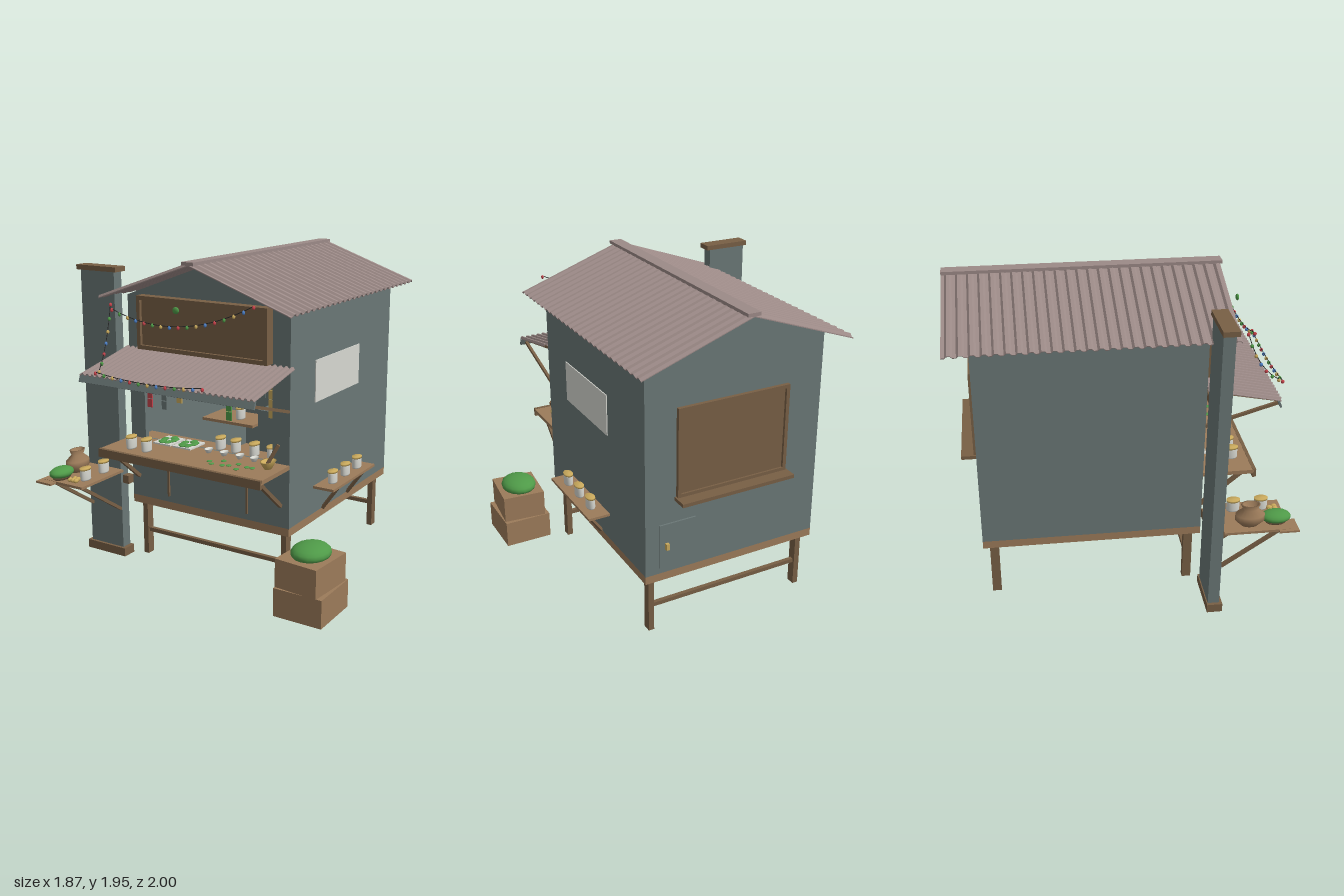
import * as THREE from 'three';

const mat = (name, color) => Object.assign(new THREE.MeshStandardMaterial({ color, side: THREE.DoubleSide }), { name });
const M = {
  wall: mat('slate grey', 0x6a7776), roof: mat('roof tin', 0x9c8a87), tan: mat('light wood', 0x9c7b5a),
  wood: mat('dark wood', 0x785f45), green: mat('leaf green', 0x4f9a48), gold: mat('gold', 0xc9a95c),
  red: mat('red', 0xc4434b), blue: mat('blue', 0x4d80c6), white: mat('off white', 0xd6d7d0), black: mat('wire black', 0x2a2a2a),
};
const CX = -0.0175; // centre line of the hut
const V = (x, y, z) => new THREE.Vector3(x, y, z);

export function createModel() {
  const root = new THREE.Group();
  root.name = 'foodStall';
  const add = (name, geo, m, x = 0, y = 0, z = 0) => {
    const mesh = new THREE.Mesh(geo, m);
    mesh.name = name;
    mesh.position.set(x, y, z);
    root.add(mesh);
    return mesh;
  };
  // box from its extents
  const box = (name, m, x0, x1, y0, y1, z0, z1) => add(name,
    new THREE.BoxGeometry(x1 - x0, y1 - y0, z1 - z0), m, (x0 + x1) / 2, (y0 + y1) / 2, (z0 + z1) / 2);
  // square bar between two points
  const beam = (name, m, a, b, w) => {
    const d = b.clone().sub(a);
    const mesh = add(name, new THREE.BoxGeometry(w, w, d.length()), m, ...a.clone().lerp(b, 0.5));
    mesh.quaternion.setFromUnitVectors(V(0, 0, 1), d.normalize());
    return mesh;
  };
  // round parts are oval: narrower in x than in z
  const lathe = (name, m, pts, x, y, z) => {
    const mesh = add(name, new THREE.LatheGeometry(pts.map(p => new THREE.Vector2(...p)), 18), m, x, y, z);
    mesh.scale.x = 0.67;
    return mesh;
  };
  const mound = (name, m, x, y, z, rx, ry, rz) =>
    add(name, new THREE.SphereGeometry(1, 16, 10), m, x, y, z).scale.set(rx, ry, rz);
  const jar = (x, y, z) => {
    lathe('jar', M.white, [[0, 0], [0.036, 0], [0.04, 0.008], [0.04, 0.062], [0.035, 0.068], [0, 0.068]], x, y, z);
    lathe('jarLid', M.gold, [[0, 0.066], [0.042, 0.066], [0.042, 0.078], [0, 0.08]], x, y, z);
  };
  // ribbed sheet starting at p, running along dir, with its ribs spread over width
  const corrugated = (name, p, dir, up, length, width, waves, amp) => {
    const step = width / waves, top = [];
    for (let i = 0; i < waves; i++) {
      const x = -width / 2 + i * step;
      top.push([x, 0], [x + step * 0.3, 0], [x + step * 0.5, amp], [x + step * 0.8, amp]);
    }
    top.push([width / 2, 0]);
    const under = top.map(([x, y]) => [x, y - 0.005]).reverse();
    const shape = new THREE.Shape([...top, ...under].map(q => new THREE.Vector2(...q)));
    const mesh = add(name, new THREE.ExtrudeGeometry(shape, { depth: length, bevelEnabled: false }), M.roof, ...p);
    mesh.quaternion.setFromRotationMatrix(new THREE.Matrix4().makeBasis(up.clone().cross(dir), up, dir));
  };

  // raised floor, legs and stretchers
  box('floor', M.tan, -0.59, 0.555, 0.36, 0.41, -0.855, 0.485);
  for (const x of [-0.55, 0.48]) for (const z of [-0.815, 0.39]) box('leg', M.wood, x, x + 0.036, 0, 0.36, z, z + 0.055);
  for (const z of [-0.8, 0.405]) box('stretcher', M.wood, -0.515, 0.48, 0.15, 0.175, z, z + 0.025);

  // walls, with the serving hatch cut in the front
  const gable = hole => {
    const s = new THREE.Shape([[-0.59, 0.41], [0.555, 0.41], [0.555, 1.7], [CX, 1.91], [-0.59, 1.7]].map(p => new THREE.Vector2(...p)));
    if (hole) s.holes.push(new THREE.Path([[-0.48, 0.8], [-0.48, 1.38], [0.44, 1.38], [0.44, 0.8]].map(p => new THREE.Vector2(...p))));
    return new THREE.ExtrudeGeometry(s, { depth: 0.03, bevelEnabled: false });
  };
  add('frontWall', gable(true), M.wall, 0, 0, 0.455);
  add('backWall', gable(false), M.wall, 0, 0, -0.855);
  box('leftWall', M.wall, 0.525, 0.555, 0.41, 1.7, -0.825, 0.455);
  box('rightWall', M.wall, -0.59, -0.56, 0.41, 1.7, -0.825, 0.455);
  box('sidePoster', M.white, 0.555, 0.561, 1.11, 1.365, -0.39, 0.19);

  // main roof
  const pitch = Math.atan2(0.235, 0.665), c = Math.cos(pitch), n = Math.sin(pitch);
  for (const s of [-1, 1]) corrugated('roofSheet', V(CX, 1.928, -0.175), V(s * c, -n, 0), V(s * n, c, 0), 0.705, 1.65, 26, 0.014);
  box('ridgeCap', M.roof, CX - 0.04, CX + 0.04, 1.926, 1.946, -1, 0.66);

  // awning with front rail and struts
  const fall = Math.atan2(0.09, 0.43);
  corrugated('awningSheet', V(CX, 1.372, 0.485), V(0, -Math.sin(fall), Math.cos(fall)), V(0, Math.cos(fall), Math.sin(fall)), 0.445, 1.2, 32, 0.012);
  box('awningRail', M.wall, -0.62, 0.585, 1.235, 1.282, -0.006, 0.006).position.z = 0.913;
  root.getObjectByName('awningRail').rotation.x = -0.4;
  for (const x of [-0.58, 0.545]) {
    beam('awningStrut', M.wood, V(x, 1.12, 0.485), V(x, 1.25, 0.91), 0.018);
    beam('awningRafter', M.wood, V(x, 1.355, 0.485), V(x, 1.27, 0.91), 0.016);
  }

  // framed sign board
  box('signPanel', M.wood, -0.45, 0.415, 1.41, 1.69, 0.485, 0.53);
  for (const y of [1.385, 1.685]) box('signFrame', M.wood, -0.475, 0.44, y, y + 0.025, 0.485, 0.55);
  for (const x of [-0.475, 0.415]) box('signFrame', M.wood, x, x + 0.025, 1.41, 1.685, 0.485, 0.55);

  // serving counter
  box('counterTop', M.tan, -0.59, 0.555, 0.775, 0.8, 0.485, 0.8);
  box('counterInside', M.tan, -0.55, 0.52, 0.775, 0.8, 0.33, 0.485);
  box('counterLip', M.wood, -0.59, 0.555, 0.75, 0.802, 0.79, 0.812);
  for (const x of [-0.535, 0.5]) beam('counterStrut', M.wood, V(x, 0.545, 0.49), V(x, 0.77, 0.75), 0.022);
  for (const x of [-0.305, 0.27]) box('frontBatten', M.wood, x - 0.006, x + 0.006, 0.45, 0.735, 0.485, 0.497);

  // goods on the counter
  [[-0.43, 0.69], [-0.315, 0.69], [0.04, 0.42], [0.15, 0.42], [0.28, 0.42], [0.4, 0.42]].forEach(([x, z]) => jar(x, 0.8, z));
  for (const x of [-0.31, -0.16]) {
    box('tray', M.white, x - 0.065, x + 0.065, 0.8, 0.81, 0.39, 0.55);
    for (let i = 0; i < 7; i++) mound('herbs', M.green, x + 0.035 * Math.cos(i * 2.4), 0.813, 0.47 + 0.05 * Math.sin(i * 2.4), 0.022, 0.007, 0.03);
  }
  for (const x of [0.02, 0.13, 0.24, 0.34]) lathe('smallBowl', M.white, [[0, 0], [0.018, 0], [0.035, 0.025], [0.03, 0.025], [0, 0.012]], x, 0.8, 0.52);
  for (let i = 0; i < 9; i++) mound('looseLeaf', M.green, 0.12 + i * 0.035, 0.803, 0.66 + 0.045 * Math.sin(i * 2.3), 0.016, 0.005, 0.018);
  lathe('mortar', M.gold, [[0, 0], [0.03, 0], [0.062, 0.045], [0.05, 0.045], [0, 0.015]], 0.475, 0.8, 0.59);
  beam('pestle', M.wood, V(0.47, 0.825, 0.59), V(0.525, 0.94, 0.56), 0.02);

  // things inside the hut
  box('innerShelf', M.tan, -0.28, 0.1, 0.87, 0.888, -0.1, 0.15);
  jar(-0.05, 0.888, 0.05);
  box('cooler', M.wall, 0.11, 0.3, 0.41, 0.98, -0.2, 0.1);
  box('coolerTop', M.wall, 0.16, 0.24, 0.98, 1.02, -0.1, 0.05);
  box('innerPanel', M.wood, -0.335, 0.3, 0.87, 1.4, -0.825, -0.818);

  // strips of sachets hanging in the hatch
  const sachets = [[-0.455, 'red', 6], [-0.395, 'blue', 4], [-0.345, 'wall', 6], [-0.285, 'gold', 4], [-0.23, 'gold', 5], [-0.175, 'blue', 3],
    [-0.02, 'red', 3], [0.13, 'green', 6], [0.19, 'red', 4], [0.245, 'red', 3], [0.295, 'blue', 4], [0.36, 'wall', 3], [0.42, 'gold', 5]];
  for (const [x, m, count] of sachets) for (let i = 0; i < count; i++)
    box('sachet', M[m], x - 0.018, x + 0.018, 1.287 - i * 0.057, 1.339 - i * 0.057, 0.46, 0.468);

  // back shutter, sill and small hatch
  box('backShutter', M.wood, -0.335, 0.335, 0.9, 1.41, -0.866, -0.855);
  for (const y of [0.885, 1.41]) box('shutterFrame', M.wood, -0.36, 0.36, y, y + 0.022, -0.878, -0.855);
  for (const x of [-0.36, 0.338]) box('shutterFrame', M.wood, x, x + 0.022, 0.9, 1.41, -0.878, -0.855);
  box('backSill', M.wood, -0.37, 0.37, 0.865, 0.887, -0.953, -0.855);
  box('backHatch', M.wall, 0.235, 0.47, 0.45, 0.73, -0.866, -0.855);
  box('hatchHandle', M.gold, 0.415, 0.435, 0.57, 0.61, -0.885, -0.866);

  // side shelf with jars
  box('sideShelf', M.tan, 0.555, 0.693, 0.572, 0.588, -0.39, 0.19);
  for (const z of [0.07, -0.27]) beam('sideShelfStrut', M.wood, V(0.558, 0.41, z), V(0.67, 0.572, z), 0.018);
  for (const z of [0.07, -0.1, -0.265]) jar(0.625, 0.588, z);

  // tall sign post beside the hut
  box('postBoard', M.wall, -0.895, -0.635, 0.055, 1.84, 0.485, 0.555);
  box('postCap', M.wood, -0.915, -0.61, 1.84, 1.87, 0.478, 0.572);
  box('postBase', M.wood, -0.915, -0.61, 0, 0.055, 0.478, 0.572);
  for (const y of [0.49, 1.3]) box('postBracket', M.wood, -0.635, -0.59, y, y + 0.053, 0.485, 0.535);

  // small table fixed to the post
  box('postTable', M.tan, -0.92, -0.615, 0.572, 0.588, 0.555, 0.95);
  box('tableCorner', M.tan, -0.94, -0.82, 0.574, 0.586, 0.88, 1);
  for (const x of [-0.875, -0.645]) beam('tableStrut', M.wood, V(x, 0.32, 0.557), V(x, 0.572, 0.92), 0.02);
  lathe('clayPot', M.tan, [[0, 0], [0.05, 0], [0.09, 0.04], [0.088, 0.075], [0.045, 0.11], [0.058, 0.142], [0.045, 0.142], [0.035, 0.11], [0, 0.1]], -0.845, 0.588, 0.72);
  lathe('basket', M.wood, [[0, 0], [0.06, 0], [0.088, 0.035], [0, 0.035]], -0.835, 0.588, 0.88);
  mound('basketGreens', M.green, -0.835, 0.627, 0.88, 0.062, 0.036, 0.09);
  for (const z of [0.655, 0.825]) jar(-0.69, 0.588, z);
  for (let i = 0; i < 5; i++) mound('goldFruit', M.gold, -0.745 + (i % 3) * 0.024 + (i > 2 ? 0.012 : 0), 0.602, i > 2 ? 0.875 : 0.905, 0.013, 0.014, 0.019);

  // stacked crates with a heap of greens
  box('lowerCrate', M.tan, 0.622, 0.93, 0, 0.172, 0.45, 0.778);
  box('upperCrate', M.tan, 0.637, 0.912, 0.173, 0.346, 0.465, 0.775).rotation.y = -0.09;
  mound('crateGreens', M.green, 0.772, 0.365, 0.61, 0.114, 0.055, 0.132);

  // light strings: a sagging wire with bulbs in turn
  const bulbs = [M.red, M.green, M.gold, M.blue];
  const lights = (a, mid, b, count) => {
    const curve = new THREE.QuadraticBezierCurve3(a, mid, b);
    add('lightWire', new THREE.TubeGeometry(curve, 24, 0.0025, 5), M.black);
    for (let i = 0; i <= count; i++) {
      const p = curve.getPoint(i / count);
      mound('bulb', bulbs[i % 4], p.x, p.y - 0.008, p.z, 0.008, 0.012, 0.011);
    }
  };
  lights(V(-0.48, 1.66, 0.77), V(-0.02, 1.49, 0.77), V(0.47, 1.75, 0.74), 16);
  lights(V(-0.53, 1.68, 0.72), V(-0.5, 1.43, 0.8), V(-0.44, 1.33, 0.95), 6);
  lights(V(-0.45, 1.325, 0.97), V(-0.08, 1.275, 0.97), V(0.29, 1.325, 0.97), 12);
  mound('greenCharm', M.green, CX, 1.69, 0.775, 0.022, 0.02, 0.01);
  return root;
}
